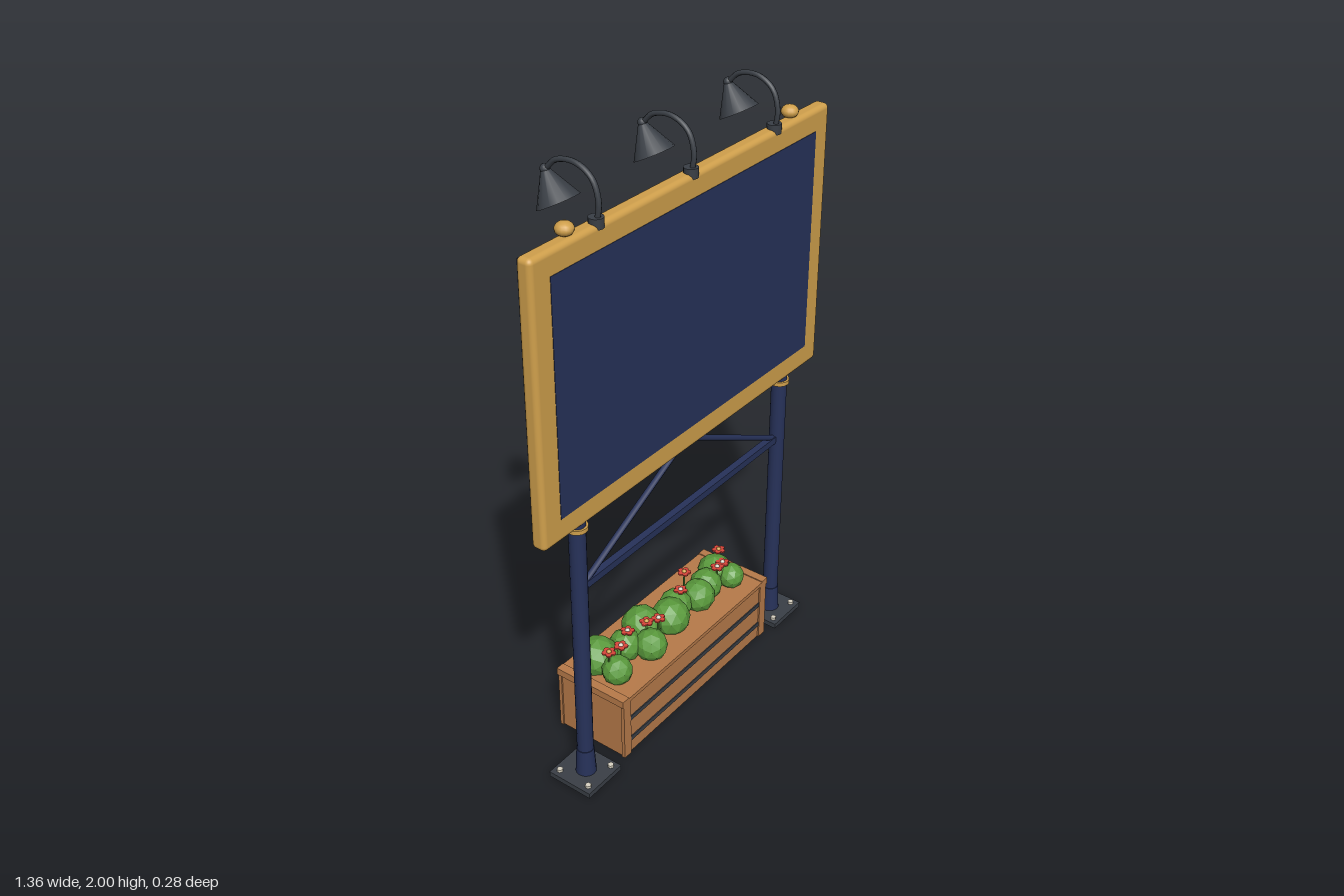
import * as THREE from 'three';
import { RoundedBoxGeometry } from 'three/addons/geometries/RoundedBoxGeometry.js';

const paint = (name, color, extra = {}) => {
  const m = new THREE.MeshStandardMaterial({ color, ...extra });
  m.name = name;
  return m;
};

export function createModel() {
  const gold = paint('gold', 0xd0a04c), navy = paint('navy', 0x27325a), cream = paint('cream', 0xdad4c4);
  const teal = paint('teal', 0x2a9484), red = paint('red', 0xd8453a), purple = paint('purple', 0x6d47a5);
  const leaf = paint('leaf green', 0x5a9a3c, { flatShading: true });
  const wood = paint('wood', 0xb87b4a);
  const metal = paint('dark metal', 0x3a3f46, { side: THREE.DoubleSide });

  const model = new THREE.Group();
  const add = (name, geo, mat, x = 0, y = 0, z = 0) => {
    const mesh = new THREE.Mesh(geo, mat);
    mesh.name = name;
    mesh.position.set(x, y, z);
    model.add(mesh);
    return mesh;
  };
  const box = (name, mat, w, h, d, x, y, z) => add(name, new THREE.BoxGeometry(w, h, d), mat, x, y, z);
  const cyl = (name, mat, r, h, x, y, z, n = 16, rb = r) =>
    add(name, new THREE.CylinderGeometry(r, rb, h, n), mat, x, y, z);
  const ball = (name, mat, r, x, y, z) => add(name, new THREE.SphereGeometry(r, 14, 10), mat, x, y, z);
  const rod = (name, mat, r, a, b) =>
    add(name, new THREE.TubeGeometry(new THREE.LineCurve3(new THREE.Vector3(...a), new THREE.Vector3(...b)), 1, r, 8), mat);

  // Posts with base plates, collars and finials
  const pz = 0.066;
  for (const s of [-1, 1]) {
    const x = s * 0.51;
    box('basePlate', metal, 0.156, 0.018, 0.16, x, 0.009, 0.063);
    for (const dx of [-0.055, 0.055]) for (const dz of [-0.057, 0.057]) {
      cyl('baseBolt', cream, 0.01, 0.01, x + dx, 0.022, 0.063 + dz, 6);
    }
    cyl('post', navy, 0.026, 0.97, x, 0.5, pz);
    cyl('postCollar', navy, 0.028, 0.095, x, 0.064, pz, 16, 0.033);
    cyl('postRing', gold, 0.033, 0.014, x, 0.948, pz);
    cyl('finialNeck', gold, 0.016, 0.02, x, 1.848, 0.062);
    ball('finial', gold, 0.027, x, 1.861, 0.062).scale.y = 0.75;
    rod('diagonalBrace', navy, 0.01, [s * 0.49, 0.735, pz], [0, 0.985, pz]);
  }
  box('crossBar', navy, 1.0, 0.024, 0.024, 0, 0.732, pz);

  // Sign: gold frame, plain front panel, board on the back
  add('signFrame', new RoundedBoxGeometry(1.36, 0.88, 0.05, 3, 0.016), gold, 0, 1.405, 0.07);
  box('frontPanel', navy, 1.215, 0.735, 0.004, 0, 1.408, 0.0945);
  box('backBoard', navy, 1.31, 0.835, 0.018, 0, 1.408, 0.039);
  box('poster', cream, 1.22, 0.735, 0.003, 0, 1.408, 0.0285);
  for (const s of [-1, 1]) {
    box('posterBand', teal, 1.22, 0.068, 0.003, 0, 1.408 + s * 0.3335, 0.0265);
    for (const x of [-0.636, 0.636]) ball('cornerStud', gold, 0.018, x, 1.408 + s * 0.394, 0.033).scale.z = 0.6;
    for (let i = -2; i <= 2; i++) {
      ball('posterScrew', cream, 0.005, i * 0.25, 1.408 + s * 0.358, 0.025).scale.z = 0.5;
    }
  }

  // Poster artwork: thin cut-outs on two layers
  const art = (name, mat, shape, layer = 0) => add(name,
    new THREE.ExtrudeGeometry(shape, { depth: 0.003, bevelEnabled: false, curveSegments: 12 }), mat, 0, 0, 0.025 - layer * 0.0025);
  const poly = (pts) => new THREE.Shape(pts.map(([x, y]) => new THREE.Vector2(x, y)));
  const disc = (x, y, r) => new THREE.Shape().absarc(x, y, r, 0, Math.PI * 2);
  const star = (x, y, r1, r2, n) => poly(Array.from({ length: n * 2 }, (_, i) => {
    const a = i * Math.PI / n + Math.PI / 2, r = i % 2 ? r2 : r1;
    return [x + r * Math.cos(a), y + r * Math.sin(a)];
  }));
  const bitten = (x, y, r) => {
    const t = 0.505, b = Math.PI / 2 - t / 2;
    return new THREE.Shape().absarc(x, y, r, -Math.PI + t, Math.PI - t, false).absarc(x - r, y, r / 2, b, -b, true);
  };
  const leafShape = (x, y, dx, dy) => {
    const s = new THREE.Shape();
    s.moveTo(x, y);
    s.quadraticCurveTo(x + dx / 2 - dy / 2, y + dy / 2 + dx / 2, x + dx, y + dy);
    s.quadraticCurveTo(x + dx / 2 + dy / 2, y + dy / 2 - dx / 2, x, y);
    return s;
  };

  art('saleBurst', gold, star(0.33, 1.513, 0.175, 0.153, 18));
  art('percentSlash', red, poly([[0.39, 1.58], [0.368, 1.592], [0.262, 1.41], [0.284, 1.398]]), 1);
  for (const [x, y] of [[0.264, 1.56], [0.396, 1.455]]) {
    const ring = disc(x, y, 0.032);
    ring.holes.push(disc(x, y, 0.016));
    art('percentRing', red, ring, 1);
  }
  art('priceTag', red, poly([[-0.207, 1.6], [-0.225, 1.63], [-0.29, 1.645], [-0.43, 1.575],
    [-0.44, 1.49], [-0.42, 1.445], [-0.36, 1.425], [-0.207, 1.49]]));
  art('tagStar', cream, star(-0.325, 1.54, 0.062, 0.035, 5), 1);
  art('tagHole', cream, disc(-0.4, 1.468, 0.018), 1);

  const slice = new THREE.Shape().absarc(0.44, 1.222, 0.072, Math.PI, Math.PI * 2);
  art('melonSlice', red, slice);
  for (const [i, row] of [3, 3, 2].entries()) for (let k = 0; k < row; k++) {
    art('grape', purple, disc(0.222 + (k - (row - 1) / 2) * 0.056, 1.282 - i * 0.052, 0.032));
  }
  art('grapeLeaf', leaf, leafShape(0.22, 1.31, 0.05, 0.05));
  const banana = new THREE.Shape();
  banana.moveTo(0.078, 1.19);
  banana.bezierCurveTo(0.05, 1.12, -0.07, 1.11, -0.09, 1.22);
  banana.bezierCurveTo(-0.04, 1.165, 0.02, 1.165, 0.078, 1.19);
  art('banana', gold, banana);
  art('pear', gold, bitten(-0.22, 1.218, 0.07));
  art('pearLeaf', leaf, leafShape(-0.225, 1.28, 0.04, 0.05));
  art('apple', red, bitten(-0.44, 1.24, 0.094));
  art('appleLeaf', leaf, leafShape(-0.425, 1.325, 0.055, 0.03));

  // Three gooseneck lamps leaning over the poster
  const neck = new THREE.CatmullRomCurve3([[0.08, 1.84], [0.088, 1.9], [0.068, 1.96], [0.015, 1.99], [-0.05, 1.982], [-0.085, 1.95]]
    .map(([z, y]) => new THREE.Vector3(0, y, z)));
  const tilt = new THREE.Vector3(0, 0.88, -0.47).normalize();
  for (const x of [-0.405, 0, 0.405]) {
    cyl('lampFoot', metal, 0.022, 0.03, x, 1.845, 0.078, 12);
    add('lampNeck', new THREE.TubeGeometry(neck, 24, 0.008, 8), metal, x);
    const shade = add('lampShade', new THREE.CylinderGeometry(0.012, 0.062, 0.09, 16, 1, true), metal, x, 1.906, -0.068);
    shade.quaternion.setFromUnitVectors(new THREE.Vector3(0, 1, 0), tilt);
    ball('lampJoint', metal, 0.014, x, 1.948, -0.088);
  }

  // Planter with corner boards and dark slat strips
  const cz = -0.008;
  box('planterBody', wood, 0.77, 0.228, 0.255, 0, 0.119, cz);
  for (const s of [-1, 1]) {
    for (const t of [-1, 1]) {
      box('cornerBoard', wood, 0.034, 0.228, 0.012, s * 0.373, 0.119, cz + t * 0.127);
    }
    box('endRim', wood, 0.03, 0.025, 0.268, s * 0.38, 0.228, cz);
    box('sideRim', wood, 0.74, 0.014, 0.268, 0, 0.23, cz);
    for (const y of [0.06, 0.145]) box('slatStrip', metal, 0.712, 0.016, 0.006, 0, y, cz + s * 0.128);
  }

  // Faceted bushes: x, z, radius
  const bushes = [[-0.295, -0.055, 0.068], [-0.2, -0.02, 0.055], [-0.09, -0.04, 0.068], [0, 0.01, 0.066],
    [0.06, -0.015, 0.056], [0.145, 0.015, 0.058], [0.21, 0.0, 0.056], [0.29, -0.02, 0.06],
    [-0.31, 0.035, 0.05], [-0.15, 0.045, 0.055], [0.3, 0.04, 0.045]];
  bushes.forEach(([x, z, r], i) => {
    const bush = add('bush', new THREE.IcosahedronGeometry(r, 1), leaf, x, 0.268, z);
    bush.rotation.set(i * 1.3, i * 0.7, i * 0.4);
  });

  // Flowers: x, height, z
  const flowers = [[-0.33, 0.345, 0.02], [-0.265, 0.325, 0.015], [-0.2, 0.33, -0.01], [-0.14, 0.343, 0.02], [-0.09, 0.33, 0.03],
    [0.075, 0.325, -0.005], [0.135, 0.348, -0.035], [0.24, 0.333, 0.025], [0.285, 0.32, 0.015], [0.325, 0.33, -0.03]];
  flowers.forEach(([x, y, z], i) => {
    cyl('flowerStem', leaf, 0.003, y - 0.23, x, (y + 0.23) / 2, z, 5);
    for (let k = 0; k < 5; k++) {
      const a = k * Math.PI * 0.4 + i;
      cyl('petal', red, 0.0095, 0.005, x + 0.014 * Math.cos(a), y, z + 0.014 * Math.sin(a), 8);
    }
    ball('flowerCentre', i % 3 ? cream : gold, 0.008, x, y + 0.002, z);
  });
  return model;
}
